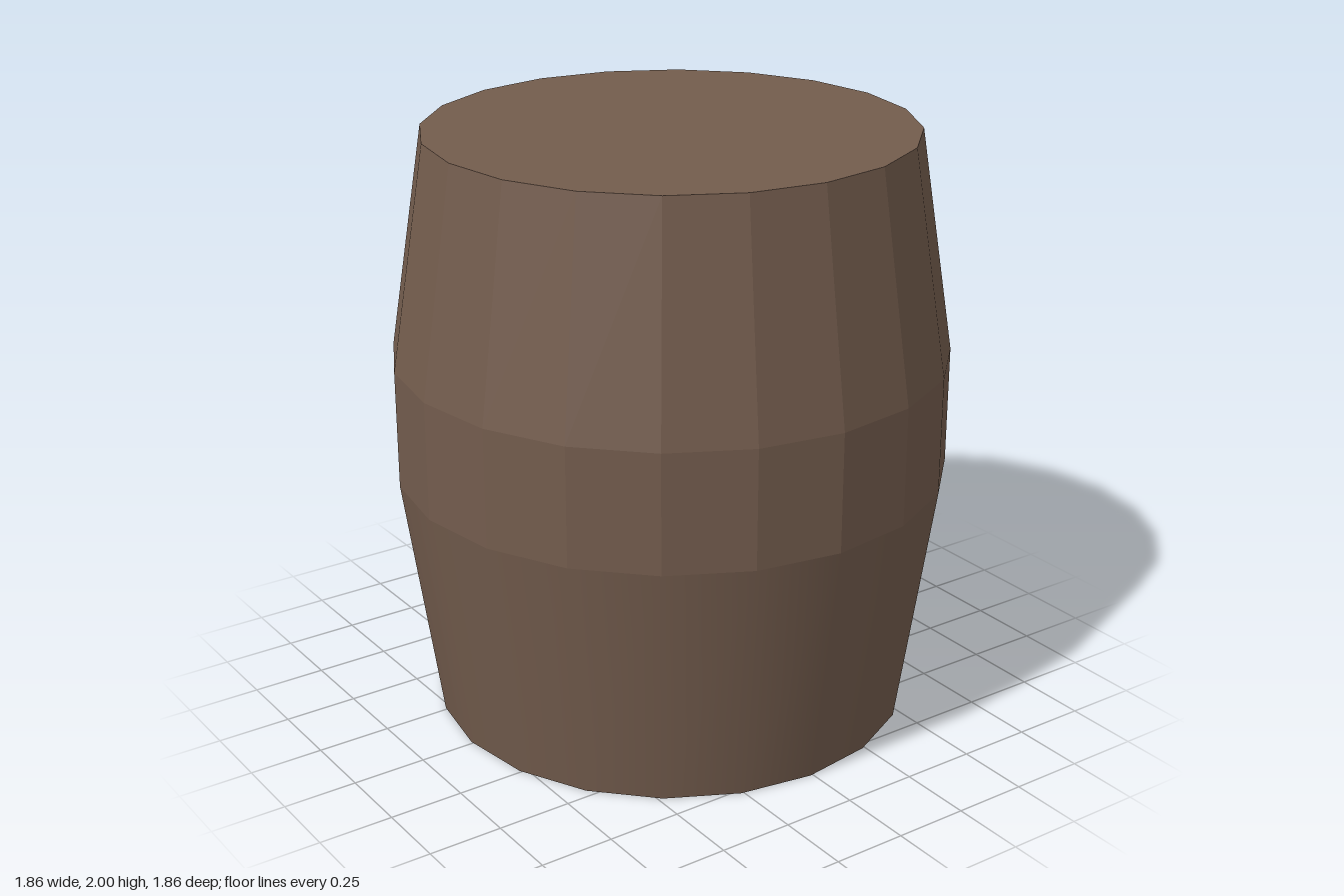
import * as THREE from 'three';

const SIDES = 20;
const END_R = 0.81;
const BELLY_R = 0.93;

export function createModel() {
  const barrel = new THREE.Group();
  barrel.name = 'barrel';

  const smoothWood = new THREE.MeshStandardMaterial({ color: 0x735c4d });
  const facetedWood = new THREE.MeshStandardMaterial({ color: 0x735c4d, flatShading: true });

  // One open ring of staves between two heights
  function addBand(name, y0, y1, r0, r1, material) {
    const geometry = new THREE.CylinderGeometry(r1, r0, y1 - y0, SIDES, 1, true);
    const band = new THREE.Mesh(geometry, material);
    band.name = name;
    band.position.y = (y0 + y1) / 2;
    barrel.add(band);
  }

  // Flat disc closing one end; its corners match the staves
  function addEnd(name, y, tilt) {
    const geometry = new THREE.CircleGeometry(END_R, SIDES);
    geometry.rotateX(tilt);
    const end = new THREE.Mesh(geometry, facetedWood);
    end.name = name;
    end.position.y = y;
    barrel.add(end);
  }

  // Smooth lower staves, faceted belly and upper staves
  addBand('lowerStaves', 0, 0.85, END_R, BELLY_R, smoothWood);
  addBand('bellyBand', 0.85, 1.25, BELLY_R, BELLY_R, facetedWood);
  addBand('upperStaves', 1.25, 2, BELLY_R, END_R, facetedWood);

  addEnd('lid', 2, -Math.PI / 2);
  addEnd('base', 0, Math.PI / 2);

  // The whole barrel is turned very slightly about its axis
  barrel.rotation.y = -0.012;

  const model = new THREE.Group();
  model.name = 'barrelModel';
  model.add(barrel);
  return model;
}
